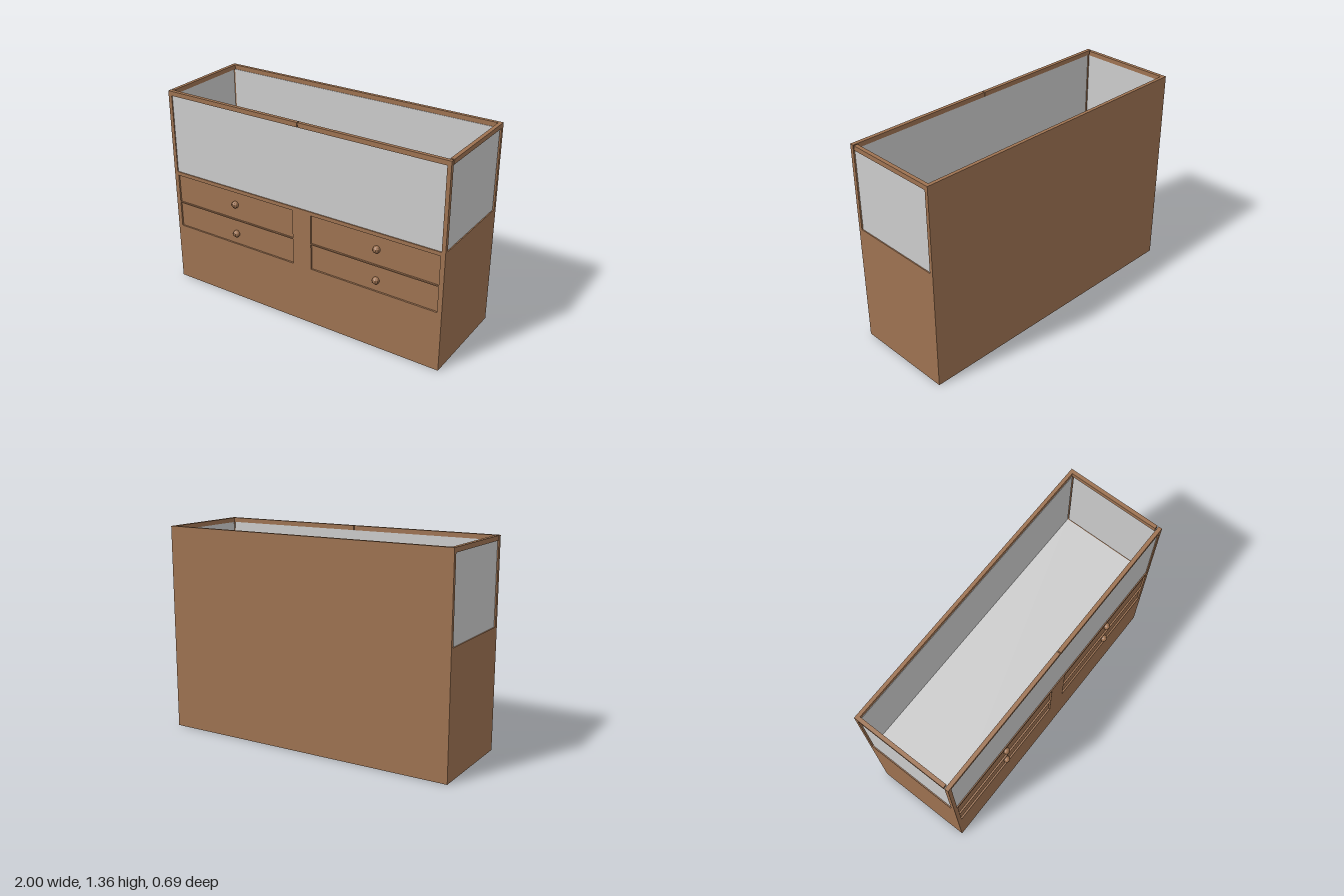
import * as THREE from 'three';

const brown = new THREE.MeshStandardMaterial({ color: 0x9d7251, flatShading: true });
const grey = new THREE.MeshStandardMaterial({ color: 0xcccccc, flatShading: true });

const H = 1.36, DECK = 0.8, RIM = 1.33;
const INNER = 0.975;                  // half width between the corner posts
const BACK = -0.343, BACK_IN = -0.32; // back panel
const FRONT_IN = 0.3, FRONT = 0.325;  // front frame
const DRAWER_FACE = 0.314;

export function createModel() {
  const model = new THREE.Group();
  model.name = 'displayCounter';

  const add = (name, geometry, material) => {
    const mesh = new THREE.Mesh(geometry, material);
    mesh.name = name;
    model.add(mesh);
    return mesh;
  };
  // Box given by its two extreme corners
  const box = (name, material, x0, x1, y0, y1, z0, z1) => {
    const mesh = add(name, new THREE.BoxGeometry(x1 - x0, y1 - y0, z1 - z0), material);
    mesh.position.set((x0 + x1) / 2, (y0 + y1) / 2, (z0 + z1) / 2);
    return mesh;
  };

  // Cabinet base, back panel and display floor
  box('cabinetBase', brown, -1, 1, 0, DECK - 0.005, BACK_IN, FRONT_IN);
  box('backPanel', brown, -1, 1, 0, H, BACK, BACK_IN);
  box('displayFloor', grey, -INNER, INNER, DECK - 0.005, DECK, BACK_IN, FRONT_IN);

  // Front frame: window open at the middle of its top rail, plus drawer openings
  const gap = 0.003;
  const frame = new THREE.Shape([
    [-1, 0], [1, 0], [1, H], [gap, H], [gap, RIM], [INNER, RIM], [INNER, DECK],
    [-INNER, DECK], [-INNER, RIM], [-gap, RIM], [-gap, H], [-1, H],
  ].map(([x, y]) => new THREE.Vector2(x, y)));

  const columns = [
    { x0: -0.97, x1: -0.045, knob: -0.5 },
    { x0: 0.09, x1: 0.97, knob: 0.555 },
  ];
  const rows = [
    { y0: 0.58, y1: 0.775, knob: 0.685 },
    { y0: 0.4, y1: 0.573, knob: 0.473 },
  ];
  for (const c of columns) {
    for (const r of rows) {
      frame.holes.push(new THREE.Path([
        new THREE.Vector2(c.x0, r.y0), new THREE.Vector2(c.x0, r.y1),
        new THREE.Vector2(c.x1, r.y1), new THREE.Vector2(c.x1, r.y0),
      ]));
      // Recessed drawer front with a round knob
      box('drawerFront', brown, c.x0, c.x1, r.y0, r.y1, FRONT_IN, DRAWER_FACE);
      const knob = add('drawerKnob', new THREE.SphereGeometry(0.024, 10, 8), brown);
      knob.position.set(c.knob, r.knob, 0.32);
    }
  }
  const frameGeometry = new THREE.ExtrudeGeometry(frame, { depth: FRONT - FRONT_IN, bevelEnabled: false });
  add('frontFrame', frameGeometry, brown).position.z = FRONT_IN;

  // Front and back panes
  box('frontPane', grey, -INNER, INNER, DECK, RIM, 0.305, 0.318);
  box('backPane', grey, -INNER, INNER, DECK, RIM, BACK_IN, BACK_IN + 0.003);

  // Side walls, panes and top rails
  for (const s of [-1, 1]) {
    const side = (name, material, a, b, ...rest) =>
      box(name, material, Math.min(s * a, s * b), Math.max(s * a, s * b), ...rest);
    side('sideLedge', brown, INNER, 1, DECK - 0.005, DECK, BACK_IN, FRONT_IN);
    side('sidePane', grey, 0.98, 0.993, DECK, RIM, -0.312, 0.296);
    side('sideTopRail', brown, INNER, 1, RIM, H, BACK_IN, 0.292);
  }

  return model;
}
